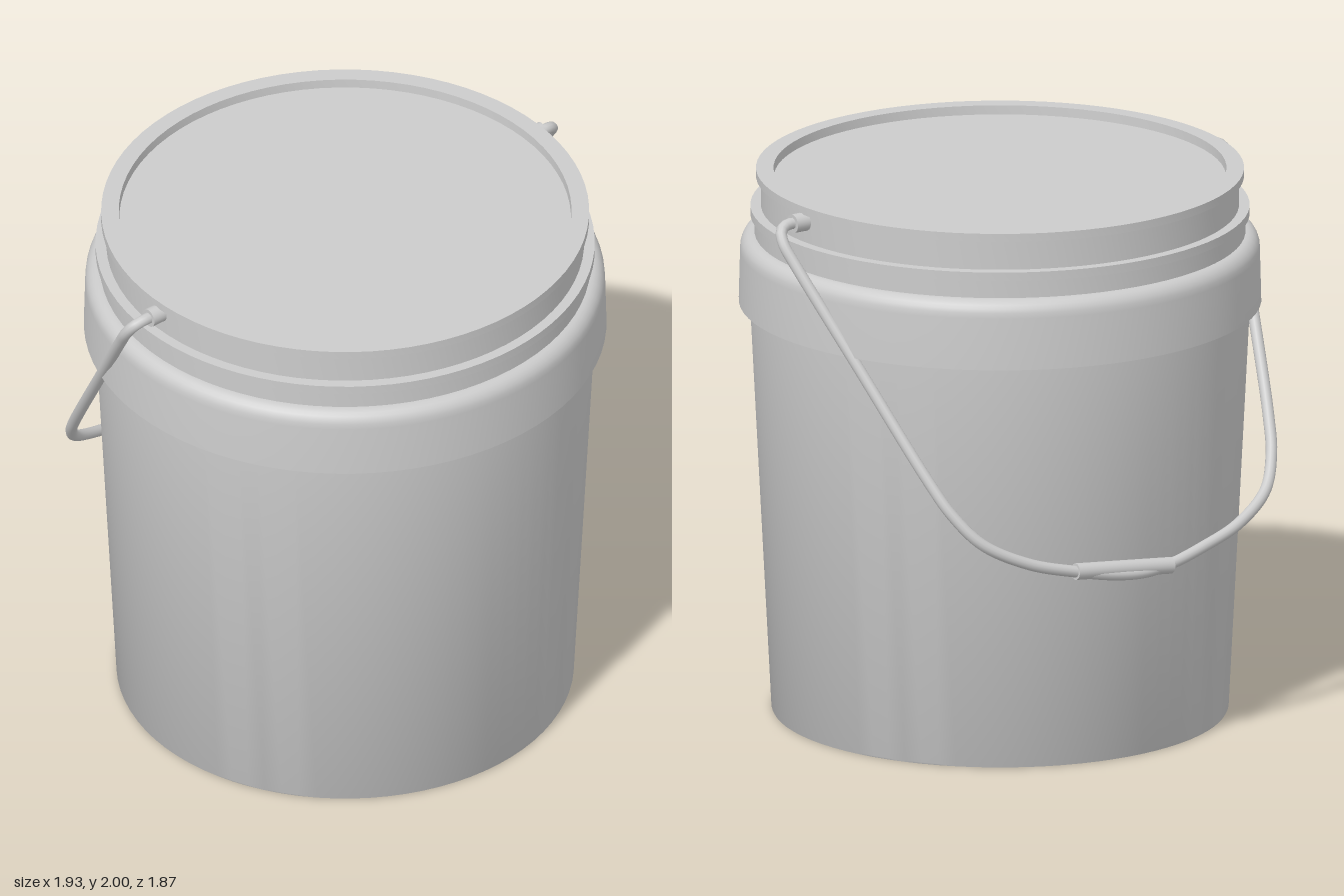
import * as THREE from 'three';
import { toCreasedNormals } from 'three/addons/utils/BufferGeometryUtils.js';

const material = new THREE.MeshStandardMaterial({ color: 0xcccccc });

function part(name, geometry) {
  const mesh = new THREE.Mesh(geometry, material);
  mesh.name = name;
  return mesh;
}

// Turned part from [radius, height] pairs, listed bottom to top on the outside
function turned(name, profile) {
  const points = profile.map(([r, y]) => new THREE.Vector2(r, y));
  return part(name, toCreasedNormals(new THREE.LatheGeometry(points, 80), 0.6));
}

// Point on the hanging bail: u across, w backwards; it falls in a sloping plane
const PIVOT_Y = 1.94;
const bailPoint = (u, w) => new THREE.Vector3(u, PIVOT_Y - 1.393 * w, -w);

export function createModel() {
  const model = new THREE.Group();
  model.name = 'bucket';
  const body = new THREE.Group();
  body.name = 'body';
  body.position.x = 0.008;
  model.add(body);

  // Tapered wall with a flat base
  body.add(turned('pail', [[0, 0], [0.815, 0], [0.818, 0.006], [0.895, 1.51], [0.895, 1.53]]));

  // Wide reinforcing collar with a rounded shoulder
  const collar = [[0.89, 1.51], [0.935, 1.51], [0.93, 1.7]];
  for (let i = 1; i <= 6; i++) {
    const a = (i / 6) * Math.PI / 2;
    collar.push([0.88 + 0.05 * Math.cos(a), 1.705 + 0.058 * Math.sin(a)]);
  }
  collar.push([0.86, 1.763]);
  body.add(turned('collar', collar));

  // Neck with a stop ring
  body.add(turned('neck', [
    [0.878, 1.75], [0.878, 1.83], [0.893, 1.83], [0.893, 1.862],
    [0.855, 1.862], [0.855, 1.97],
  ]));

  // Lid with a raised rim and recessed panel
  body.add(turned('lid', [
    [0.85, 1.97], [0.873, 1.97], [0.873, 2], [0.81, 2], [0.808, 1.967], [0, 1.967],
  ]));

  // Handle assembly, turned about the vertical axis
  const handle = new THREE.Group();
  handle.name = 'handle';
  handle.rotation.y = THREE.MathUtils.degToRad(15);
  body.add(handle);

  for (const side of [-1, 1]) {
    const lug = part(side > 0 ? 'leftLug' : 'rightLug', new THREE.CylinderGeometry(0.034, 0.034, 0.085, 24));
    lug.rotation.z = Math.PI / 2;
    lug.position.set(side * 0.868, PIVOT_Y, 0);
    handle.add(lug);
  }

  // Wire bail: half path from pivot to the lowest point, then mirrored
  const half = [
    [0.88, 0], [0.935, 0], [0.968, 0.012], [0.978, 0.04], [0.962, 0.09], [0.86, 0.335],
    [0.745, 0.61], [0.7, 0.69], [0.62, 0.765], [0.46, 0.825], [0.28, 0.86], [0.12, 0.883],
  ];
  const path = [
    ...half.map(([u, w]) => bailPoint(u, w)),
    bailPoint(0, 0.89),
    ...half.slice().reverse().map(([u, w]) => bailPoint(-u, w)),
  ];
  handle.add(part('bailWire', new THREE.TubeGeometry(new THREE.CatmullRomCurve3(path), 200, 0.021, 12)));

  // Grip sleeve around the lower part of the wire
  const start = bailPoint(0.28, 0.86), end = bailPoint(-0.12, 0.886);
  const axis = end.clone().sub(start);
  const grip = part('grip', new THREE.CylinderGeometry(0.03, 0.03, axis.length(), 24));
  grip.position.copy(start).add(end).multiplyScalar(0.5);
  grip.quaternion.setFromUnitVectors(new THREE.Vector3(0, 1, 0), axis.normalize());
  handle.add(grip);

  return model;
}
